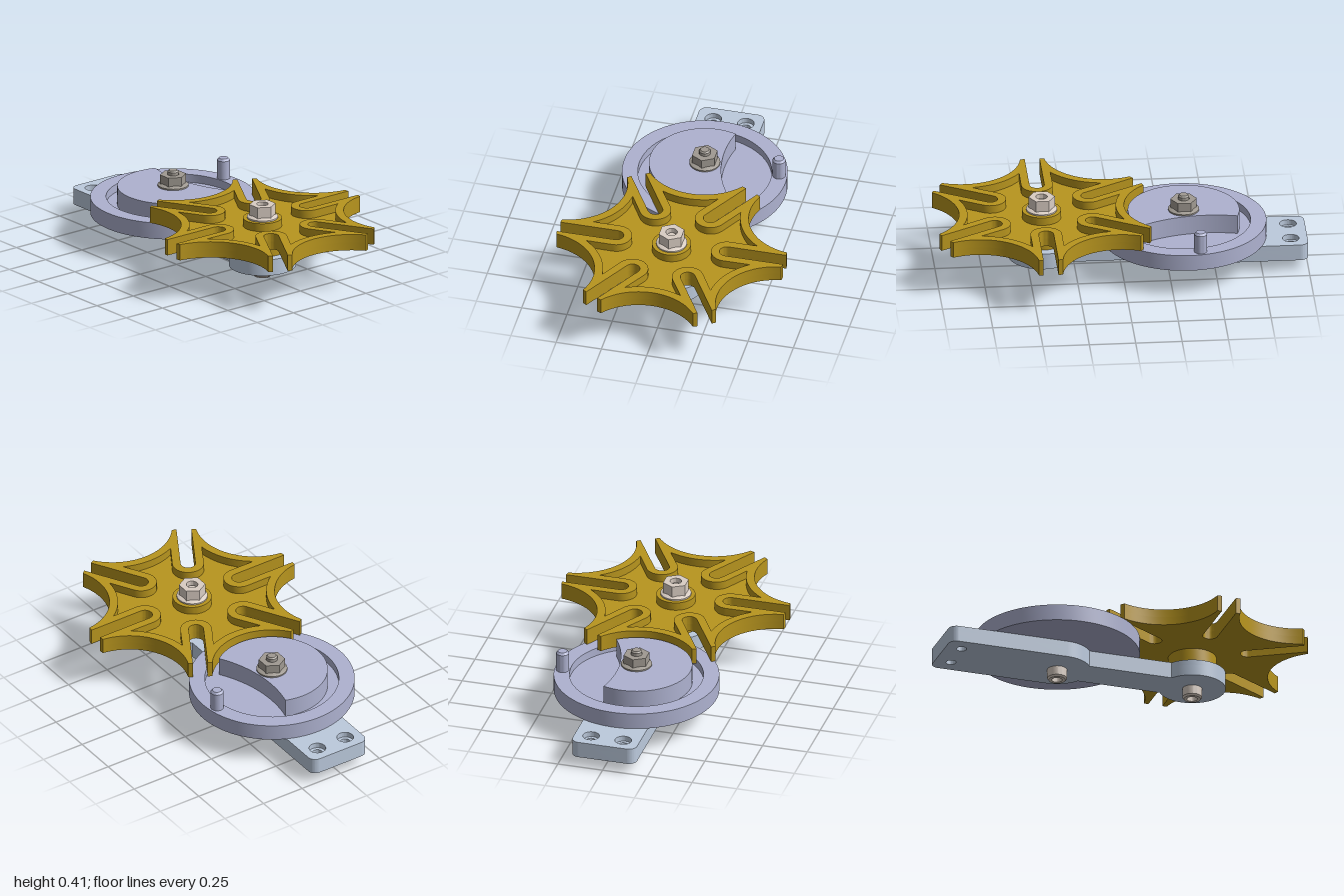
import * as THREE from 'three';
import { toCreasedNormals } from 'three/addons/utils/BufferGeometryUtils.js';

const mat = (color) => new THREE.MeshStandardMaterial({ color });
const PLATE = mat(0xbccadd), DISC = mat(0xaeb2d0), GOLD = mat(0xb8951e);
const STEEL = mat(0xdacec4), DARK = mat(0xa09a92);
const DRIVER_X = -0.34, WHEEL_X = 0.425, SPAN = 0.765;

function part(geometry, material, name) {
  const mesh = new THREE.Mesh(toCreasedNormals(geometry, 0.5), material);
  mesh.name = name;
  return mesh;
}

// Flat shape standing between two heights
function slab(shape, y0, y1, material, name) {
  const g = new THREE.ExtrudeGeometry(shape, { depth: y1 - y0, bevelEnabled: false, curveSegments: 32 });
  g.rotateX(-Math.PI / 2).translate(0, y0, 0);
  return part(g, material, name);
}

function turned(points, material, name, sides = 64) {
  const g = new THREE.LatheGeometry(points.map(([r, y]) => new THREE.Vector2(r, y)), sides);
  return part(g, material, name);
}

function circleHole(x, y, r) {
  return new THREE.Path().absarc(x, y, r, 0, Math.PI * 2, true);
}

// Six-slot star outline: concave arcs alternating with round-ended slots
function starPoints(arcRadius, arcHalfAngle, slotHalf, slotEnd) {
  const pts = [];
  const put = (x, y, a) => pts.push(new THREE.Vector2(x, y).rotateAround(new THREE.Vector2(), a));
  for (let k = 0; k < 6; k++) {
    const a = k * Math.PI / 3, s = a + Math.PI / 6;
    for (let i = 0; i <= 24; i++) {
      const t = arcHalfAngle * (i / 12 - 1);
      put(SPAN - arcRadius * Math.cos(t), arcRadius * Math.sin(t), a);
    }
    if (slotEnd) put(slotEnd, -slotHalf, s);
    for (let i = 0; i <= 16; i++) {
      const t = -Math.PI / 2 - Math.PI * i / 16;
      put(0.305 + slotHalf * Math.cos(t), slotHalf * Math.sin(t), s);
    }
    if (slotEnd) put(slotEnd, slotHalf, s);
  }
  return pts;
}

function makeBase() {
  const group = new THREE.Group();
  group.name = 'basePlate';
  const neck = Math.asin(0.1 / 0.18), q = Math.PI / 2, c = 0.045;
  const layer = (holeRadius) => {
    const s = new THREE.Shape();
    s.moveTo(-1 + c, -0.18);
    s.absarc(DRIVER_X, 0, 0.18, -q, -neck, false);
    s.absarc(WHEEL_X, 0, 0.18, -Math.PI + neck, Math.PI - neck, false);
    s.absarc(DRIVER_X, 0, 0.18, neck, q, false);
    s.absarc(-1 + c, 0.18 - c, c, q, 2 * q, false);
    s.absarc(-1 + c, -0.18 + c, c, 2 * q, 3 * q, false);
    for (const z of [-0.09, 0.09]) s.holes.push(circleHole(-0.91, z, holeRadius));
    return s;
  };
  // Mounting holes are counterbored from above
  group.add(slab(layer(0.027), 0.06, 0.12, PLATE, 'plateLower'));
  group.add(slab(layer(0.045), 0.12, 0.15, PLATE, 'plateUpper'));
  return group;
}

function makeDriver() {
  const group = new THREE.Group();
  group.name = 'driveWheel';
  group.position.x = DRIVER_X;
  group.rotation.y = 0.15;
  group.add(turned([[0, 0.15], [0.445, 0.15], [0.445, 0.24], [0.36, 0.24], [0.36, 0.195], [0, 0.195]],
    DISC, 'rimmedDisc', 96));
  // Locking disc with a clearance bite facing the pin
  const a = Math.asin(0.1436 / 0.3), b = Math.atan2(0.6214, 0.2634);
  const lock = new THREE.Shape();
  lock.absarc(0, 0, 0.3, Math.PI - a, 2 * Math.PI + a, false);
  lock.absarc(0, SPAN, 0.675, -b, -Math.PI + b, true);
  group.add(slab(lock, 0.195, 0.3, DISC, 'lockingDisc'));
  const pin = turned([[0.035, 0.19], [0.035, 0.343], [0.025, 0.355], [0, 0.355]], DISC, 'drivePin', 32);
  pin.position.z = -0.4;
  group.add(pin);
  return group;
}

function makeStar() {
  const group = new THREE.Group();
  group.name = 'slottedWheel';
  group.position.x = WHEEL_X;
  const outline = () => new THREE.Shape(starPoints(0.32, Math.asin(0.254 / 0.32), 0.04, 0.624));
  const rim = outline();
  rim.holes.push(new THREE.Path(starPoints(0.365, 0.4354, 0.085).reverse()));
  group.add(slab(outline(), 0.24, 0.285, GOLD, 'wheelFloor'));
  group.add(slab(rim, 0.285, 0.33, GOLD, 'wheelWalls'));
  group.add(turned([[0.105, 0.285], [0.105, 0.33], [0, 0.33]], GOLD, 'wheelHub'));
  group.add(turned([[0, 0.15], [0.13, 0.15], [0.13, 0.24]], GOLD, 'wheelSpacer'));
  return group;
}

// Bolt from below with a flanged hex nut seated at height y
function makeFastener(x, y, nutTop, studTop, nutMaterial, name) {
  const group = new THREE.Group();
  group.name = name;
  group.position.x = x;
  group.add(turned([[0, 0.03], [0.028, 0.03], [0.028, 0], [0.045, 0], [0.053, 0.01], [0.053, 0.06]],
    STEEL, 'boltHead', 40));
  group.add(turned([[0.03, 0.06], [0.03, studTop - 0.008], [0.023, studTop], [0, studTop]],
    nutMaterial, 'boltShank', 32));
  group.add(turned([[0.083, y], [0.083, y + 0.008], [0.062, y + 0.018], [0.03, y + 0.02]],
    nutMaterial, 'nutFlange', 48));
  const hex = (r) => {
    const pts = [];
    for (let i = 0; i < 6; i++) {
      pts.push(new THREE.Vector2(r * Math.cos(i * Math.PI / 3), r * Math.sin(i * Math.PI / 3)));
    }
    const s = new THREE.Shape(pts);
    s.holes.push(circleHole(0, 0, 0.031));
    return s;
  };
  group.add(slab(hex(0.071), y + 0.01, nutTop, nutMaterial, 'hexNut'));
  return group;
}

export function createModel() {
  const model = new THREE.Group();
  model.name = 'intermittentDrive';
  model.add(makeBase(), makeDriver(), makeStar());
  model.add(makeFastener(DRIVER_X, 0.3, 0.365, 0.39, DARK, 'driverFastener'));
  model.add(makeFastener(WHEEL_X, 0.33, 0.407, 0.385, STEEL, 'wheelFastener'));
  return model;
}
